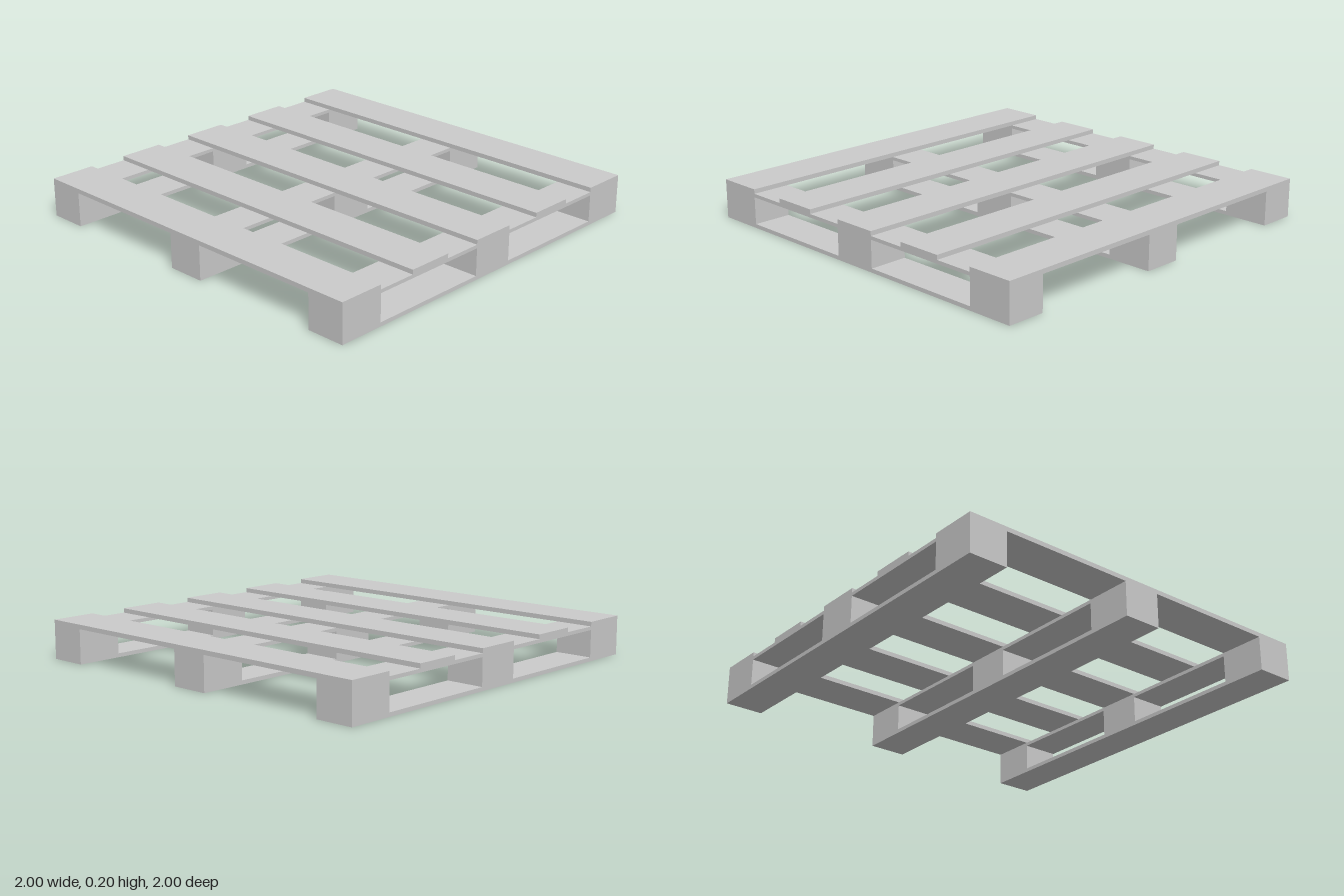
import * as THREE from 'three';

export function createModel() {
  const pallet = new THREE.Group();
  pallet.name = 'pallet';
  const material = new THREE.MeshStandardMaterial({ color: 0xcccccc, flatShading: true });

  // Box standing between heights y0 and y1, centred on x and z
  function addBox(name, width, y0, y1, depth, x, z) {
    const mesh = new THREE.Mesh(new THREE.BoxGeometry(width, y1 - y0, depth), material);
    mesh.position.set(x, (y0 + y1) / 2, z);
    mesh.name = name;
    pallet.add(mesh);
  }

  const boardWidth = 0.237;
  const runnerWidth = 0.2;
  const runnerTop = 0.02, stringerBottom = 0.159, deckBottom = 0.177, deckTop = 0.2;
  const edgeZ = 1 - boardWidth / 2;

  // Five deck boards running across the top
  for (let i = -2; i <= 2; i++) {
    addBox('deckBoard', 2, deckBottom, deckTop, boardWidth, 0, (i / 2) * edgeZ);
  }

  // Three rows, each a bottom runner, three blocks and a stringer board
  for (const x of [-0.9, 0, 0.9]) {
    addBox('bottomRunner', runnerWidth, 0, runnerTop, 2, x, 0);
    addBox('stringerBoard', runnerWidth, stringerBottom, deckBottom, 2, x, 0);
    for (const z of [-edgeZ, 0, edgeZ]) {
      addBox('spacerBlock', runnerWidth, runnerTop, stringerBottom, boardWidth, x, z);
    }
  }

  return pallet;
}
